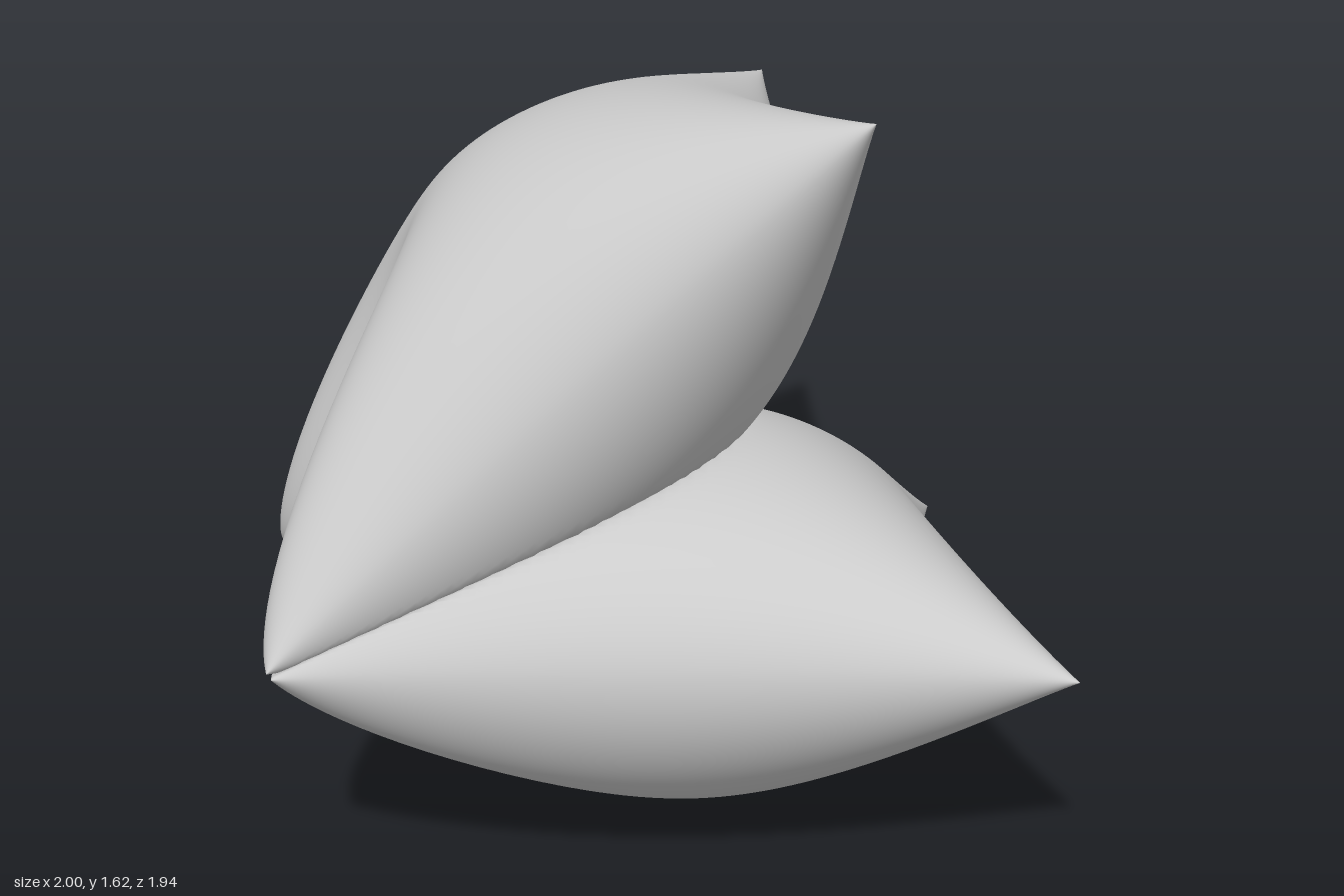
import * as THREE from 'three';
import { mergeVertices } from 'three/addons/utils/BufferGeometryUtils.js';

const V = (x, y, z) => new THREE.Vector3(x, y, z);
const N = 80;

// Plane where the two cushions press flat against each other
const contact = new THREE.Plane().setFromNormalAndCoplanarPoint(
  V(-0.41, 0.91, 0).normalize(), V(-1, 0.3, 0));

// Stuffed cushion: four corners in order, how far each edge is drawn inwards, half thickness,
// and the side of the contact plane it stays on. The third edge is pinched into a sharp fold.
function cushionGeometry(corners, sags, half, keep) {
  const [a, b, c, d] = corners;
  const normal = c.clone().sub(a).cross(d.clone().sub(b)).normalize();
  const centre = V(0, 0, 0);
  corners.forEach((p) => centre.addScaledVector(p, 0.25));
  const pulls = sags.map((s, i) => {
    const mid = corners[i].clone().add(corners[(i + 1) % 4]).multiplyScalar(0.5);
    return centre.clone().sub(mid).setLength(s);
  });

  const point = (u, v, side) => {
    const p = V(0, 0, 0);
    p.addScaledVector(a, (1 - u) * (1 - v) / 4).addScaledVector(b, (1 + u) * (1 - v) / 4);
    p.addScaledVector(c, (1 + u) * (1 + v) / 4).addScaledVector(d, (1 - u) * (1 + v) / 4);
    const fu = Math.max(0, 1 - u * u), fv = Math.max(0, 1 - v * v);
    const pinch = fu ** 2.7 * ((1 + v) / 2) ** 2;
    const weights = [fu * ((1 - v) / 2) ** 2, fv * ((1 + u) / 2) ** 2, pinch, fv * ((1 - u) / 2) ** 2];
    weights.forEach((w, i) => p.addScaledVector(pulls[i], w));
    // The fold thins the cushion, most of all on the side facing the other one
    const depth = side === keep ? 0.4 : 0.85;
    const dent = 1 - depth * fu ** 3 * ((1 + v) / 2) ** 4;
    p.addScaledVector(normal, side * half * dent * (fu * fv) ** 0.53);
    const distance = contact.distanceToPoint(p);
    if (distance * keep < 0) p.addScaledVector(contact.normal, -distance);
    return p;
  };

  // Two bulging faces that meet at the seam; samples crowd towards the seam
  const positions = [], index = [];
  const spread = (i) => Math.sin((i / N - 0.5) * Math.PI);
  for (const side of [1, -1]) {
    const base = positions.length / 3;
    for (let j = 0; j <= N; j++) {
      for (let i = 0; i <= N; i++) positions.push(...point(spread(i), spread(j), side).toArray());
    }
    for (let j = 0; j < N; j++) {
      for (let i = 0; i < N; i++) {
        const p = base + j * (N + 1) + i, q = p + 1, r = p + N + 2, s = p + N + 1;
        if (side > 0) index.push(p, q, r, p, r, s);
        else index.push(p, r, q, p, s, r);
      }
    }
  }
  const geometry = new THREE.BufferGeometry();
  geometry.setAttribute('position', new THREE.Float32BufferAttribute(positions, 3));
  geometry.setIndex(index);
  const merged = mergeVertices(geometry, 1e-5);
  merged.computeVertexNormals();
  return merged;
}

export function createModel() {
  const group = new THREE.Group();
  group.name = 'cushions';
  const material = new THREE.MeshStandardMaterial({ color: 0xcccccc });
  const add = (name, geometry) => {
    const mesh = new THREE.Mesh(geometry, material);
    mesh.name = name;
    group.add(mesh);
  };

  // Leaning cushion on top
  add('upperCushion', cushionGeometry(
    [V(0.55, 1.62, 0.28), V(-0.26, 1.26, -0.97), V(-1, 0.31, 0.02), V(-0.38, 0.59, 0.97)],
    [0.09, 0.09, 0.5, 0.07], 0.42, 1));

  // Cushion lying on the ground, touching the upper one at two corners
  add('lowerCushion', cushionGeometry(
    [V(1, 0.57, 0.27), V(0.2, 0.22, -0.97), V(-0.99, 0.3, 0.03), V(-0.37, 0.58, 0.97)],
    [0.11, 0.08, 0.46, 0.05], 0.415, -1));

  return group;
}
